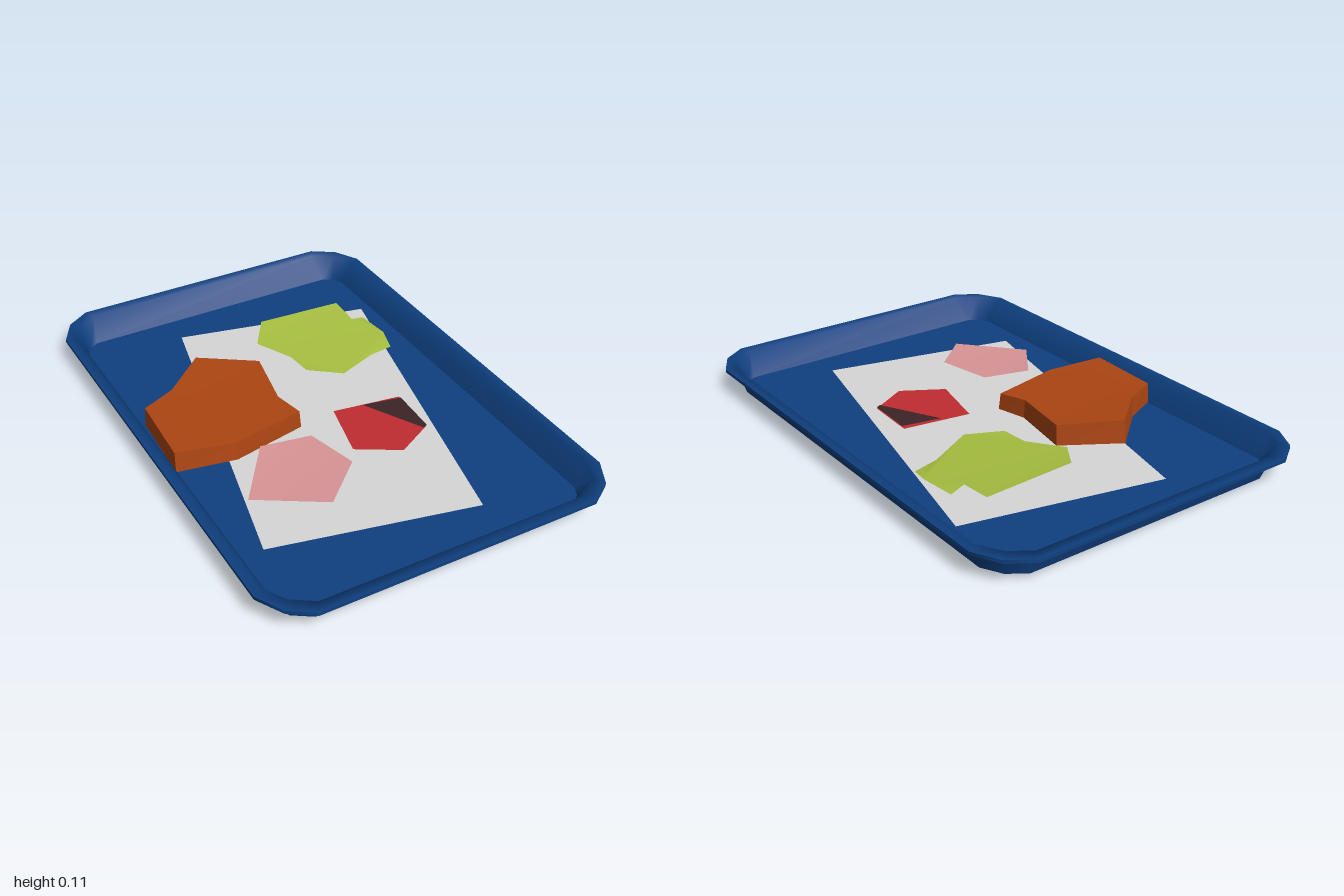
import * as THREE from 'three';

const mat = (name, color, double) => {
  const m = new THREE.MeshStandardMaterial({ color });
  m.name = name;
  if (double) m.side = THREE.DoubleSide;
  return m;
};

// Indexed geometry from a list of [x, y, z] points
function build(points, index) {
  const g = new THREE.BufferGeometry();
  g.setAttribute('position', new THREE.Float32BufferAttribute(points.flat(), 3));
  g.setIndex(index);
  g.computeVertexNormals();
  return g;
}

// Rectangle with faceted round corners, lying at height y
function ring([hx, hz, y, k]) {
  const corner = [[hx, hz - 0.16 * k], [hx - 0.055 * k, hz - 0.06 * k], [hx - 0.145 * k, hz]];
  const out = [];
  for (const [sx, sz] of [[1, 1], [-1, 1], [-1, -1], [1, -1]]) {
    const c = sx * sz > 0 ? corner : [...corner].reverse();
    for (const [x, z] of c) out.push([sx * x, y, sz * z]);
  }
  return out;
}

// Smooth wall joining a sequence of rings with equal point counts
function loft(rings) {
  const n = rings[0].length, index = [];
  for (let i = 0; i < rings.length - 1; i++) {
    for (let j = 0; j < n; j++) {
      const a = i * n + j, b = i * n + (j + 1) % n;
      index.push(a, a + n, b, b, a + n, b + n);
    }
  }
  return build(rings.flat(), index);
}

// Flat or gently bent sheet filling an outline, facing up (or down)
function sheet(points, down = false) {
  let pts = points;
  const flat = p => p.map(([x, , z]) => new THREE.Vector2(x, -z));
  if (THREE.ShapeUtils.isClockWise(flat(pts))) pts = [...pts].reverse();
  const index = THREE.ShapeUtils.triangulateShape(flat(pts), []).flat();
  return build(pts, down ? index.reverse() : index);
}

export function createModel() {
  const model = new THREE.Group();
  model.name = 'servingTray';
  const blue = mat('trayBlue', 0x0f4080);
  const paperGrey = mat('paperGrey', 0xd6d6d6, true);
  const brown = mat('roastBrown', 0xab4512);
  const green = mat('leafGreen', 0xa6be40, true);
  const pink = mat('slicePink', 0xd89496, true);
  const red = mat('tomatoRed', 0xc02c30, true);
  const dark = mat('darkPatch', 0x3c2426, true);

  const add = (parent, name, geometry, material) => {
    const m = new THREE.Mesh(geometry, material);
    m.name = name;
    parent.add(m);
  };

  // Tray: each section is [half width, half depth, height, corner size]
  const tray = new THREE.Group();
  tray.name = 'tray';
  model.add(tray);
  const base = [0.62, 0.92, 0, 0.75];
  const neck = [0.65, 0.95, 0.09, 0.85];
  const lipLow = [0.686, 1, 0.09, 1];
  const lipHigh = [0.686, 1, 0.103, 1];
  const lipInner = [0.65, 0.957, 0.105, 0.9];
  const floor = [0.6, 0.89, 0.012, 0.4];
  const section = (...s) => loft(s.map(ring));
  add(tray, 'trayUnderside', sheet(ring(base), true), blue);
  add(tray, 'trayOuterWall', section(base, neck), blue);
  add(tray, 'lipUnderside', section(neck, lipLow), blue);
  add(tray, 'lipEdge', section(lipLow, lipHigh), blue);
  add(tray, 'lipAndInnerWall', section(lipHigh, lipInner, floor), blue);
  add(tray, 'trayFloor', sheet(ring(floor)), blue);

  // Paper liner turned on the tray floor
  add(model, 'paperLiner', sheet([
    [-0.22, 0.018, -0.75], [0.555, 0.018, -0.58], [0.255, 0.018, 0.75], [-0.52, 0.018, 0.58],
  ]), paperGrey);

  // Roast: faceted block with a slightly sunken, sloping top
  const roast = new THREE.Group();
  roast.name = 'roast';
  model.add(roast);
  const top = [
    [-0.285, 0.11, -0.455], [-0.07, 0.1, -0.325], [-0.115, 0.095, -0.08], [-0.085, 0.088, 0.035],
    [-0.38, 0.09, 0.095], [-0.605, 0.1, 0.055], [-0.59, 0.1, -0.25], [-0.455, 0.1, -0.31],
  ];
  const n = top.length, fan = [];
  for (let i = 0; i < n; i++) fan.push(i, n, (i + 1) % n);
  add(roast, 'roastTop', build([...top, [-0.33, 0.092, -0.14]], fan), brown);
  const bottom = top.map(([x, , z]) => [-0.34 + (x + 0.34) * 1.01, 0.02, -0.16 + (z + 0.16) * 1.04]);
  const sides = loft([bottom, top]).toNonIndexed();
  sides.computeVertexNormals();
  add(roast, 'roastSides', sides, brown);
  add(roast, 'roastBottom', sheet(bottom, true), brown);

  // Lettuce leaf with a torn corner
  add(model, 'lettuceLeaf', sheet([
    [0.07, 0.1, -0.58], [0.43, 0.085, -0.58], [0.43, 0.075, -0.45], [0.49, 0.06, -0.46],
    [0.505, 0.06, -0.32], [0.485, 0.045, -0.23], [0.38, 0.05, -0.21], [0.205, 0.065, -0.13],
    [0.08, 0.075, -0.21], [0.07, 0.075, -0.32], [-0.01, 0.085, -0.46],
  ]), green);

  // Pink slice
  add(model, 'pinkSlice', sheet([
    [-0.31, 0.085, 0.15], [-0.12, 0.09, 0.19], [-0.07, 0.095, 0.4], [-0.235, 0.085, 0.55], [-0.47, 0.06, 0.37],
  ]), pink);

  // Tomato slice and its dark corner
  add(model, 'tomatoSlice', sheet([
    [0.06, 0.04, 0.04], [0.33, 0.04, 0.08], [0.32, 0.04, 0.29], [0.165, 0.04, 0.375], [0.005, 0.04, 0.28],
  ]), red);
  add(model, 'tomatoDarkCorner', sheet([
    [0.175, 0.045, 0.065], [0.329, 0.045, 0.095], [0.32, 0.045, 0.29], [0.3, 0.045, 0.3],
  ]), dark);

  return model;
}
